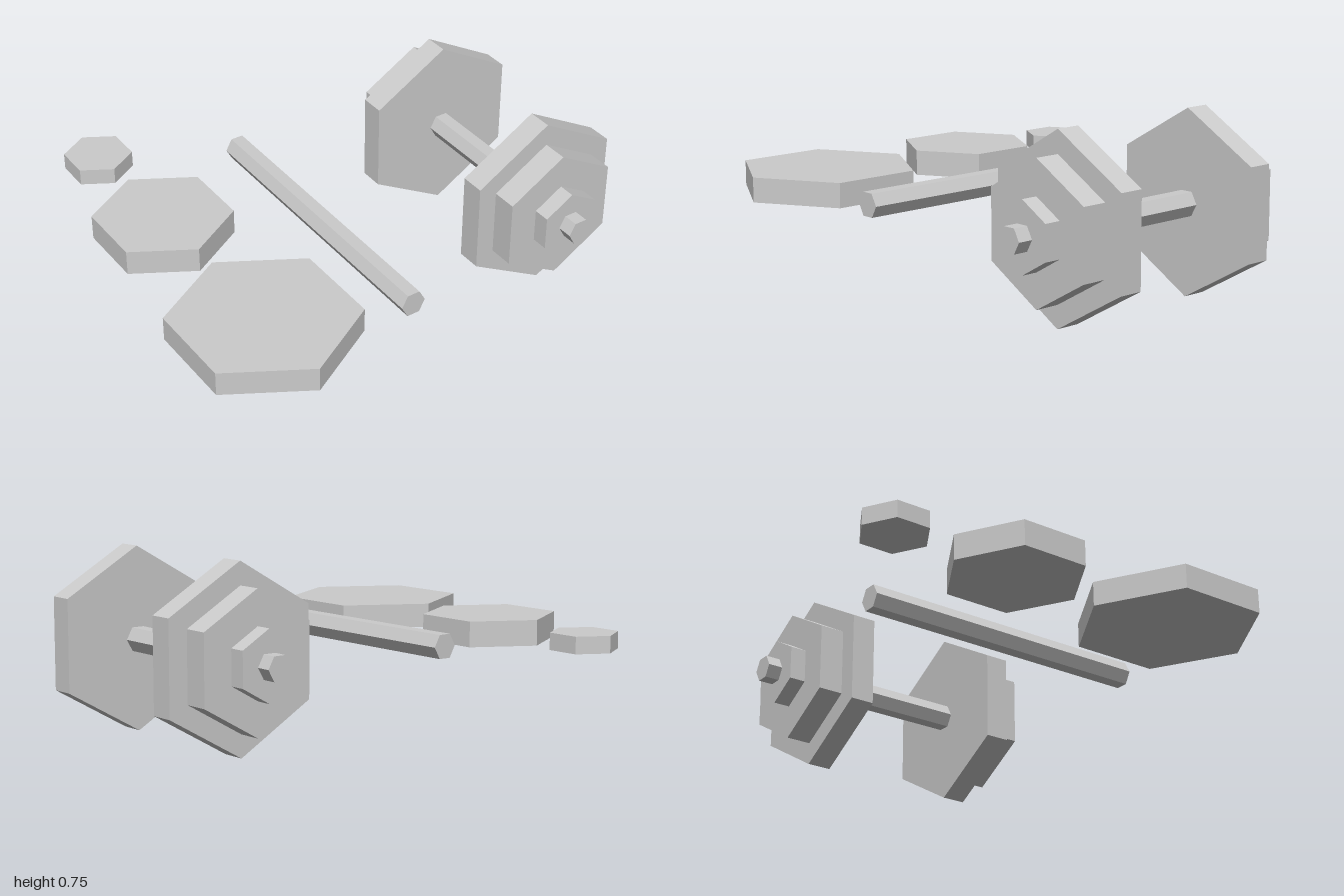
import * as THREE from 'three';

const material = new THREE.MeshStandardMaterial({ color: 0xcccccc, flatShading: true });

// Hexagonal plates from largest to smallest; inner = distance from bar middle when mounted
const PLATES = [
  { name: 'largePlate', radius: 0.375, thick: 0.102, inner: 0.294, looseZ: 0.528 },
  { name: 'mediumPlate', radius: 0.282, thick: 0.106, inner: 0.396, looseZ: -0.226 },
  { name: 'smallPlate', radius: 0.141, thick: 0.07, inner: 0.502, looseZ: -0.77 },
];
const AXIS_Y = 0.378;
const BAR_Z = 0.105;

function hexMesh(name, radius, thick) {
  const mesh = new THREE.Mesh(new THREE.CylinderGeometry(radius, radius, thick, 6), material);
  mesh.name = name;
  return mesh;
}

// Hexagonal bar along z with its flat sides up and down
function makeBar(name) {
  const bar = hexMesh(name, 0.053, 1.27);
  bar.geometry.rotateY(Math.PI / 6).rotateX(Math.PI / 2).scale(1, 1.04, 1);
  return bar;
}

export function createModel() {
  const model = new THREE.Group();
  model.name = 'dumbbellSet';

  // Assembled dumbbell: bar with mirrored stacks of plates
  const dumbbell = new THREE.Group();
  dumbbell.name = 'assembledDumbbell';
  dumbbell.position.set(0.672, AXIS_Y, BAR_Z);
  dumbbell.add(makeBar('bar'));
  for (const side of [1, -1]) {
    for (const p of PLATES) {
      const plate = hexMesh(p.name + (side > 0 ? 'Front' : 'Back'), p.radius, p.thick);
      plate.rotation.x = Math.PI / 2;
      plate.position.z = side * (p.inner + p.thick / 2);
      dumbbell.add(plate);
    }
  }
  model.add(dumbbell);

  // Loose bar
  const looseBar = makeBar('looseBar');
  looseBar.position.set(-0.143, AXIS_Y, BAR_Z);
  model.add(looseBar);

  // Loose plates lying flat in a row
  for (const p of PLATES) {
    const plate = hexMesh(p.name + 'Loose', p.radius, p.thick);
    plate.position.set(-0.675, AXIS_Y, p.looseZ);
    model.add(plate);
  }
  return model;
}
